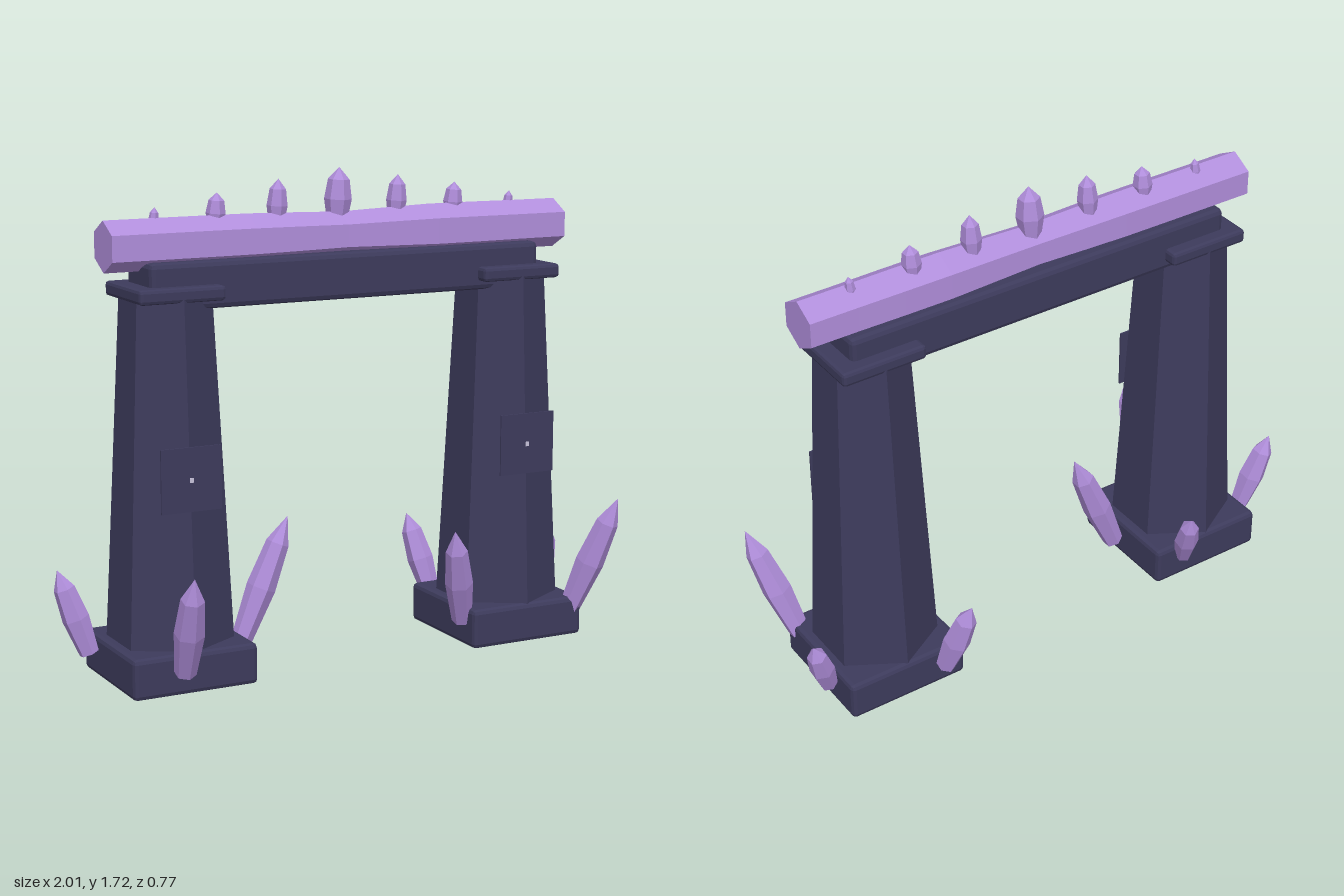
import * as THREE from 'three';
import { RoundedBoxGeometry } from 'three/addons/geometries/RoundedBoxGeometry.js';

const Z = -0.034; // depth of the arch's centre plane

export function createModel() {
  const stone = new THREE.MeshStandardMaterial({ color: 0x3d3b5c });
  stone.name = 'darkStone';
  const crystal = new THREE.MeshStandardMaterial({ color: 0xb08edb });
  crystal.name = 'violetCrystal';
  const pale = new THREE.MeshStandardMaterial({ color: 0xc9c4dc });
  pale.name = 'paleInlay';

  const root = new THREE.Group();
  root.name = 'crystalArch';

  // One normal per facet
  const facet = (geo) => {
    const g = geo.index ? geo.toNonIndexed() : geo;
    g.computeVertexNormals();
    return g;
  };
  const add = (parent, name, geo, mat, x, y, z) => {
    const m = new THREE.Mesh(geo, mat);
    m.name = name;
    m.position.set(x, y, z);
    parent.add(m);
    return m;
  };
  // Box with chamfered edges
  const block = (w, h, d, bevel) => facet(new RoundedBoxGeometry(w, h, d, 1, bevel));

  // Six-sided crystal from its foot to its tip
  const addCrystal = (parent, name, foot, tip, r) => {
    const a = new THREE.Vector3(...foot);
    const dir = new THREE.Vector3(...tip).sub(a);
    const len = dir.length();
    const profile = [[0, 0], [0.72, 0], [1, 0.42], [0.78, 0.78], [0, 1]]
      .map(([u, v]) => new THREE.Vector2(u * r, v * len));
    const m = add(parent, name, facet(new THREE.LatheGeometry(profile, 6)), crystal, ...foot);
    m.quaternion.setFromUnitVectors(new THREE.Vector3(0, 1, 0), dir.normalize());
  };

  // Pillars: base, tapered hexagonal shaft, cap and front plate
  for (const [side, x] of [['right', -0.64], ['left', 0.664]]) {
    const pillar = new THREE.Group();
    pillar.name = side + 'Pillar';
    root.add(pillar);
    add(pillar, 'base', block(0.454, 0.142, 0.454, 0.016), stone, x, 0.071, Z);
    add(pillar, 'shaft', facet(new THREE.CylinderGeometry(0.157, 0.22, 1.19, 6)), stone, x, 0.725, Z);
    add(pillar, 'cap', block(0.31, 0.05, 0.31, 0.012), stone, x, 1.333, Z);
    add(pillar, 'frontPlate', new THREE.BoxGeometry(0.218, 0.218, 0.006), stone, x, 0.727, 0.163);
    add(pillar, 'plateInlay', new THREE.BoxGeometry(0.014, 0.016, 0.003), pale, x, 0.725, 0.167);
  }

  // Stone lintel
  add(root, 'lintel', block(1.492, 0.16, 0.212, 0.018), stone, 0.011, 1.356, Z);

  // Crystal beam: hexagonal bar with a slightly pinched middle
  const beam = new THREE.CylinderGeometry(0.087, 0.087, 1.743, 6, 10, false, Math.PI / 6);
  beam.rotateZ(Math.PI / 2);
  const p = beam.attributes.position;
  for (let i = 0; i < p.count; i++) {
    const x = p.getX(i);
    const s = 1 - 0.11 * Math.exp(-((x / 0.2) ** 2)) + 0.03 * Math.exp(-(((x - 0.4) / 0.2) ** 2));
    p.setY(i, p.getY(i) * s);
    p.setZ(i, p.getZ(i) * s * 1.05);
  }
  add(root, 'crystalBeam', facet(beam), crystal, 0.0135, 1.489, Z);

  // Spikes along the beam: x, tip height, radius
  const spikes = [
    [-0.673, 1.61, 0.018], [-0.447, 1.65, 0.034], [-0.218, 1.687, 0.036], [0.015, 1.718, 0.048],
    [0.245, 1.685, 0.036], [0.473, 1.65, 0.034], [0.7, 1.61, 0.018],
  ];
  for (const [x, top, r] of spikes) {
    addCrystal(root, 'beamSpike', [x - 0.003, 1.53, -0.05], [x + 0.004, top, -0.045], r);
  }

  // Crystals growing around the bases: foot, tip, radius
  const cluster = [
    [[-0.9, 0.09, -0.13], [-0.997, 0.385, -0.165], 0.048],
    [[-0.702, 0.09, 0.235], [-0.724, 0.447, 0.373], 0.052],
    [[-0.368, 0.09, -0.04], [-0.192, 0.515, -0.03], 0.052],
    [[-0.53, 0.09, -0.26], [-0.48, 0.33, -0.36], 0.044],
    [[0.915, 0.09, -0.137], [0.99, 0.317, -0.185], 0.044],
    [[0.863, 0.095, 0.157], [0.983, 0.515, 0.28], 0.052],
    [[0.437, 0.09, 0.105], [0.342, 0.45, 0.215], 0.05],
    [[0.53, 0.09, -0.285], [0.474, 0.38, -0.373], 0.048],
  ];
  for (const [foot, tip, r] of cluster) addCrystal(root, 'baseCrystal', foot, tip, r);

  return root;
}
